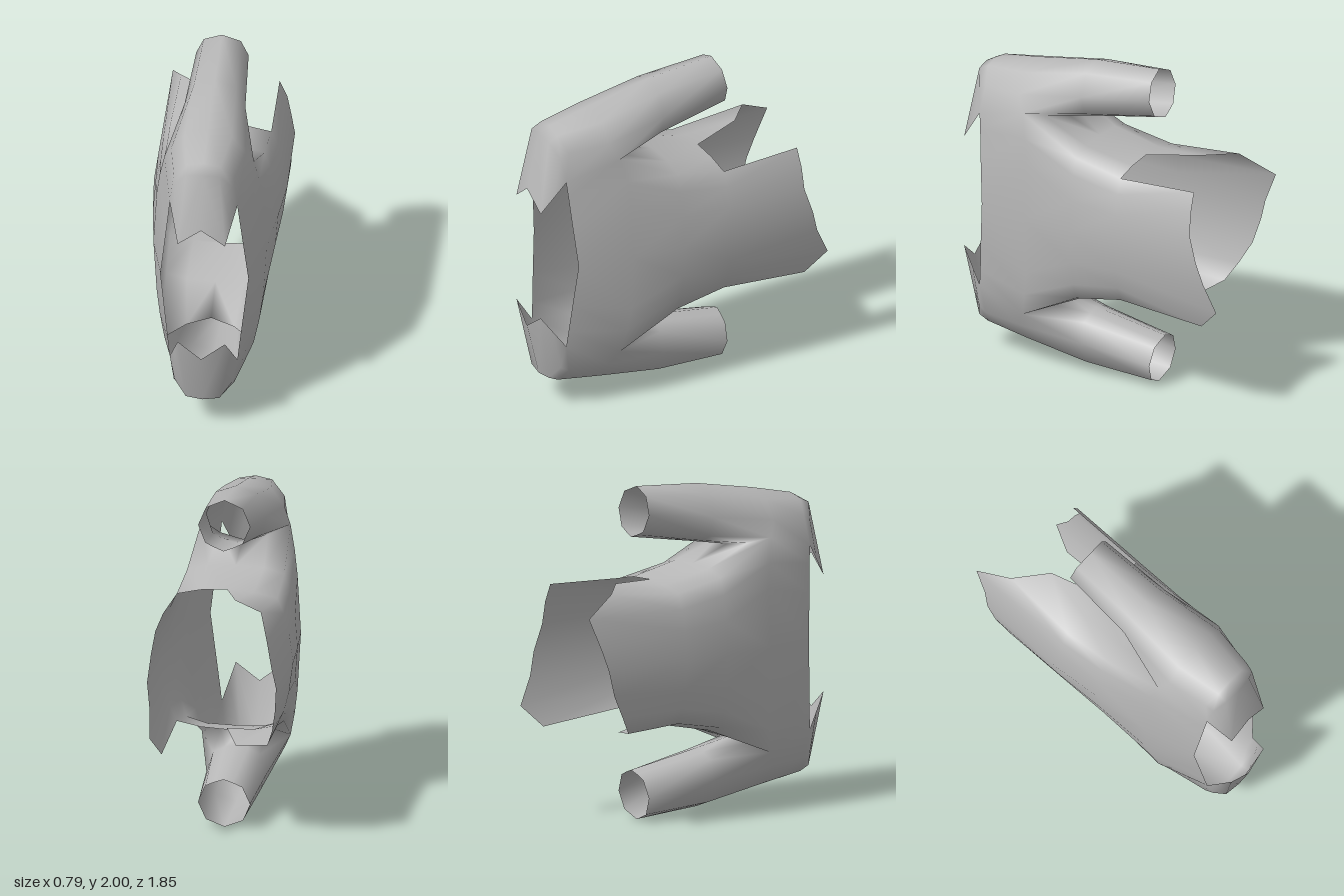
import * as THREE from 'three';
import { mergeVertices } from 'three/addons/utils/BufferGeometryUtils.js';

// Cross-sections for the +x, upper quarter; each runs from the top centre to the side.
const lip = [[0, 1.46, 0.93], [0.14, 1.35, 0.92], [0.17, 1.45, 0.85], [0.2, 1.55, 0.78]];
const brow = [[0, 1.8, 0.85], [0.1, 1.79, 0.84], [0.17, 1.7, 0.8], [0.2, 1.55, 0.78]];
const rim = [[0, 1.84, 0.78], [0.1, 1.82, 0.78], [0.18, 1.73, 0.75], [0.2, 1.55, 0.78],
  [0.21, 1.45, 0.77], [0.23, 1.27, 0.755], [0.26, 1, 0.73]];
const collar = [[0, 1.9, 0.5], [0.14, 1.85, 0.5], [0.22, 1.74, 0.5], [0.265, 1.645, 0.45]];
const crotch = [[0, 1.58, 0.32], [0.14, 1.6, 0.37], [0.265, 1.645, 0.45]];
const flank = [[0.295, 1.5, 0.42], [0.315, 1.35, 0.4], [0.335, 1, 0.4]];

// Tube half-rings, front to open rear end
const tubeRows = [
  [...collar, crotch[1], crotch[0]],
  [[0, 1.97, 0.1], [0.125, 1.925, 0.1], [0.18, 1.79, 0.1], [0.14, 1.67, 0.1], [0.07, 1.635, 0.1], [0, 1.62, 0.1]],
  [[0, 2, -0.33], [0.11, 1.955, -0.34], [0.155, 1.85, -0.35], [0.11, 1.745, -0.36], [0.055, 1.72, -0.365], [0, 1.7, -0.37]],
];

// Roof and side panel, front to back
const panelRows = [
  [...crotch, ...flank],
  [[0, 1.49, 0.07], [0.17, 1.485, 0.07], [0.29, 1.45, 0.07], [0.325, 1.35, 0.07], [0.355, 1.2, 0.07], [0.37, 1, 0.07]],
  [[0, 1.43, -0.24], [0.16, 1.42, -0.24], [0.3, 1.39, -0.24], [0.34, 1.3, -0.24], [0.37, 1.18, -0.24], [0.395, 1, -0.24]],
];

// Ragged rear edge of each quarter, in the same mirrored frame
const rearMid = [0.385, 1, -0.8];
const tornEdges = {
  '1,1': [[0.3, 1.41, -0.74], [0.345, 1.3, -0.745], [0.37, 1.16, -0.75], rearMid],
  '1,-1': [[0.3, 1.44, -0.79], [0.35, 1.31, -0.92], [0.365, 1.14, -0.84], rearMid],
  '-1,1': [[0, 1.43, -0.24], [0.1, 1.455, -0.55], [0.28, 1.435, -0.71], [0.35, 1.32, -0.92], [0.365, 1.13, -0.84], rearMid],
  '-1,-1': [[0, 1.42, -0.24], [0.1, 1.44, -0.53], [0.3, 1.41, -0.6], [0.34, 1.3, -0.67], [0.37, 1.16, -0.75], rearMid],
};

export function createModel() {
  const group = new THREE.Group();
  const shellGrey = new THREE.MeshStandardMaterial({ color: 0xb8b8b8, side: THREE.DoubleSide });
  shellGrey.name = 'shell grey';

  const positions = [];
  const parts = {};

  // Adds a strip of quads between successive cross-sections, mirrored by sx and sy
  function loft(part, rows, sx, sy) {
    const range = (parts[part] ??= []);
    const put = (p) => {
      range.push(positions.length / 3);
      positions.push(sx * p[0], 1 + sy * (p[1] - 1), p[2]);
    };
    const triangle = (a, b, c) => (sx * sy > 0 ? [a, b, c] : [a, c, b]).forEach(put);
    for (let r = 0; r + 1 < rows.length; r++) {
      for (let c = 0; c + 1 < rows[r].length; c++) {
        const [a, b] = [rows[r][c], rows[r][c + 1]];
        const [d, e] = [rows[r + 1][c], rows[r + 1][c + 1]];
        if (a !== b && a !== d) triangle(a, b, d);
        triangle(b, e, d);
      }
    }
  }

  for (const sx of [1, -1]) {
    const side = sx > 0 ? 'left' : 'right';
    for (const sy of [1, -1]) {
      const level = sy > 0 ? 'upper' : 'lower';
      // Nose and hanging lip in front of the tube
      loft(level + 'Nose', [lip, brow, rim.slice(0, 4), collar], sx, sy);
      loft(level + 'Tube', tubeRows, sx, sy);
      // Side panel from the mouth edge to the torn rear edge
      loft(side + 'Panel', [rim.slice(3), [collar[3], ...flank]], sx, sy);
      loft(side + 'Panel', panelRows, sx, sy);
      const torn = tornEdges[[sx, sy].join()];
      loft(side + 'Panel', [panelRows[2].slice(6 - torn.length), torn], sx, sy);
    }
  }

  // Weld everything so the shading runs smoothly from part to part
  const soup = new THREE.BufferGeometry();
  soup.setAttribute('position', new THREE.Float32BufferAttribute(positions, 3));
  const shell = mergeVertices(soup, 1e-4);
  shell.computeVertexNormals();

  for (const [name, corners] of Object.entries(parts)) {
    const geometry = new THREE.BufferGeometry();
    geometry.setAttribute('position', shell.attributes.position);
    geometry.setAttribute('normal', shell.attributes.normal);
    geometry.setIndex(corners.map((i) => shell.index.getX(i)));
    const mesh = new THREE.Mesh(geometry, shellGrey);
    mesh.name = name;
    group.add(mesh);
  }
  return group;
}
